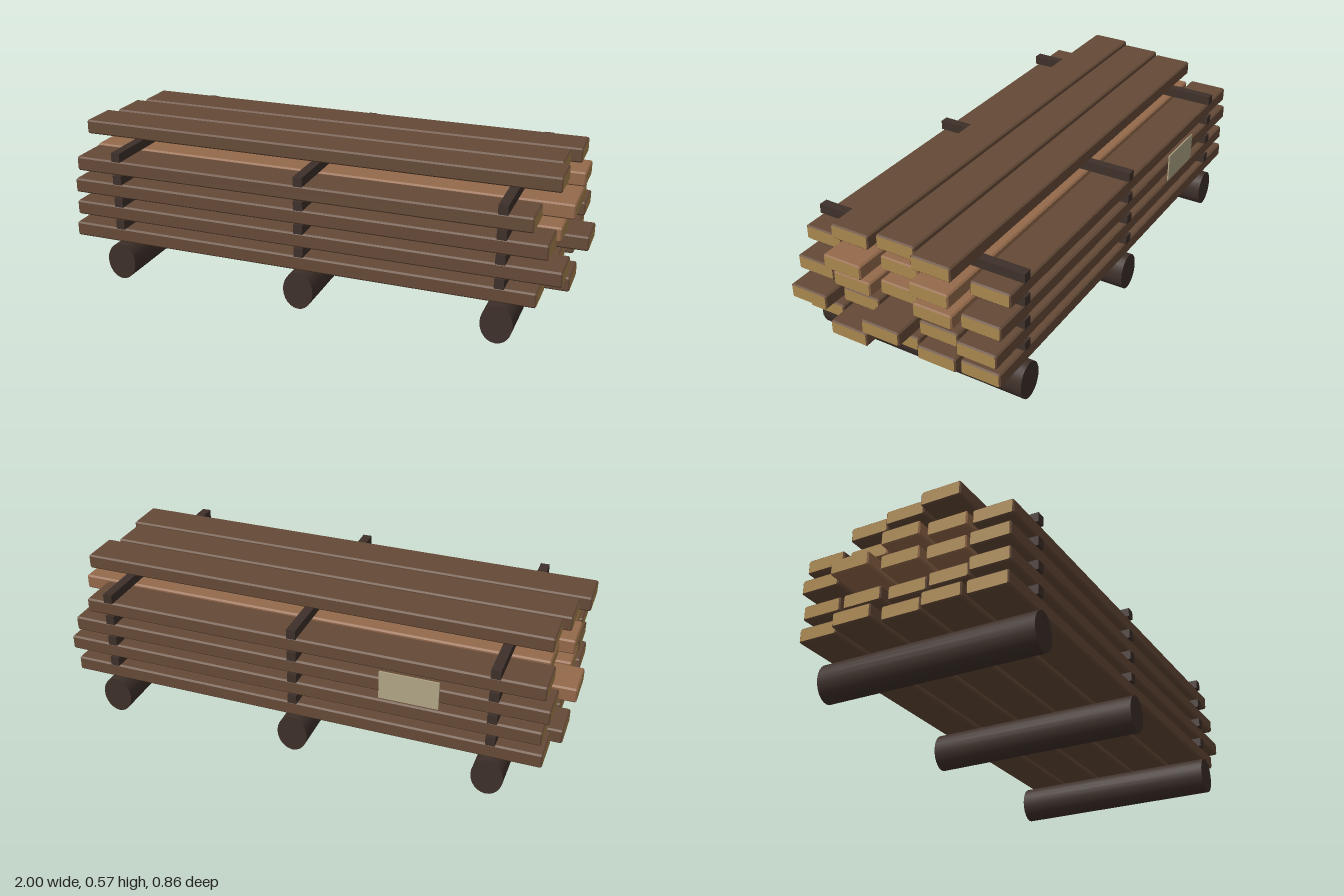
import * as THREE from 'three';

const mat = (color) => new THREE.MeshStandardMaterial({ color, roughness: 0.9 });

// Plank with softened edges, lying along x from x0 to x1; pale sawn end grain on the caps
function makePlank(x0, x1, y, z, endMat, sideMat) {
  const w = 0.155, h = 0.056, b = 0.005;
  const hw = w / 2 - b, hh = h / 2 - b, c = 0.003;
  const s = new THREE.Shape([
    [-hw + c, -hh], [hw - c, -hh], [hw, -hh + c], [hw, hh - c],
    [hw - c, hh], [-hw + c, hh], [-hw, hh - c], [-hw, -hh + c],
  ].map(([px, py]) => new THREE.Vector2(px, py)));
  const len = x1 - x0;
  const geo = new THREE.ExtrudeGeometry(s, {
    depth: len - 2 * b, bevelEnabled: true, bevelThickness: b, bevelSize: b, bevelSegments: 1,
  });
  geo.translate(0, 0, -(len - 2 * b) / 2);
  geo.rotateY(Math.PI / 2);
  const mesh = new THREE.Mesh(geo, [endMat, sideMat]);
  mesh.position.set((x0 + x1) / 2, y, z);
  return mesh;
}

export function createModel() {
  const group = new THREE.Group();
  group.name = 'lumberStack';

  const brown = mat(0x654a37);
  const fresh = mat(0x94694a);
  const endGrain = mat(0xa8864e);
  const dark = mat(0x3e302a);
  const tagMat = mat(0xb0a585);

  const supportX = [-0.745, 0, 0.745];
  const pitch = 0.0917, firstY = 0.178;

  // Round logs carrying the stack
  const logGeo = new THREE.CylinderGeometry(0.0735, 0.0735, 0.855, 24);
  logGeo.rotateX(Math.PI / 2);
  logGeo.scale(0.8, 1, 1);
  for (const x of supportX) {
    const log = new THREE.Mesh(logGeo, dark);
    log.name = 'supportLog';
    log.position.set(x, 0.0735, 0.001);
    group.add(log);
  }

  // Plank ends [x0, x1] per row from bottom up, each row listed from back to front
  const rows = [
    [[-0.93, 0.91], [-0.97, 0.92], [-0.93, 0.89], [-0.95, 0.96], [-0.945, 0.875]],
    [[-0.92, 0.93], [-0.92, 0.9], [-0.9, 0.995], [-0.91, 0.88], [-0.935, 0.957]],
    [[-0.94, 0.9], [-1, 0.93], [-0.95, 0.88], [-0.93, 0.92], [-0.935, 0.905]],
    [[-0.92, 0.84], [-0.9, 0.944], [-0.955, 0.87], [-0.93, 0.96], [-0.92, 0.85]],
    [[-0.905, 0.925], [-0.935, 0.885], [-0.975, 0.91]],
  ];
  rows.forEach((row, r) => {
    const layer = new THREE.Group();
    layer.name = 'plankLayer' + (r + 1);
    row.forEach(([x0, x1], i) => {
      const offset = i - (row.length - 1) / 2;
      const inner = Math.abs(offset) < 2 && (r === 2 || r === 3);
      const plank = makePlank(x0, x1, firstY + r * pitch, offset * 0.168, endGrain, inner ? fresh : brown);
      plank.name = 'plank';
      layer.add(plank);
    });
    group.add(layer);
  });

  // Thin spacer sticks between the layers
  const stickGeo = new THREE.BoxGeometry(0.035, 0.0357, 0.84);
  for (let r = 0; r < rows.length - 1; r++) {
    for (const x of supportX) {
      const stick = new THREE.Mesh(stickGeo, dark);
      stick.name = 'spacerStick';
      stick.position.set(x, firstY + (r + 0.5) * pitch, 0);
      group.add(stick);
    }
  }

  // Blank tag on the back of the stack
  const tag = new THREE.Mesh(new THREE.BoxGeometry(0.22, 0.11, 0.005), tagMat);
  tag.name = 'tag';
  tag.position.set(-0.445, 0.37, -0.424);
  group.add(tag);

  return group;
}
